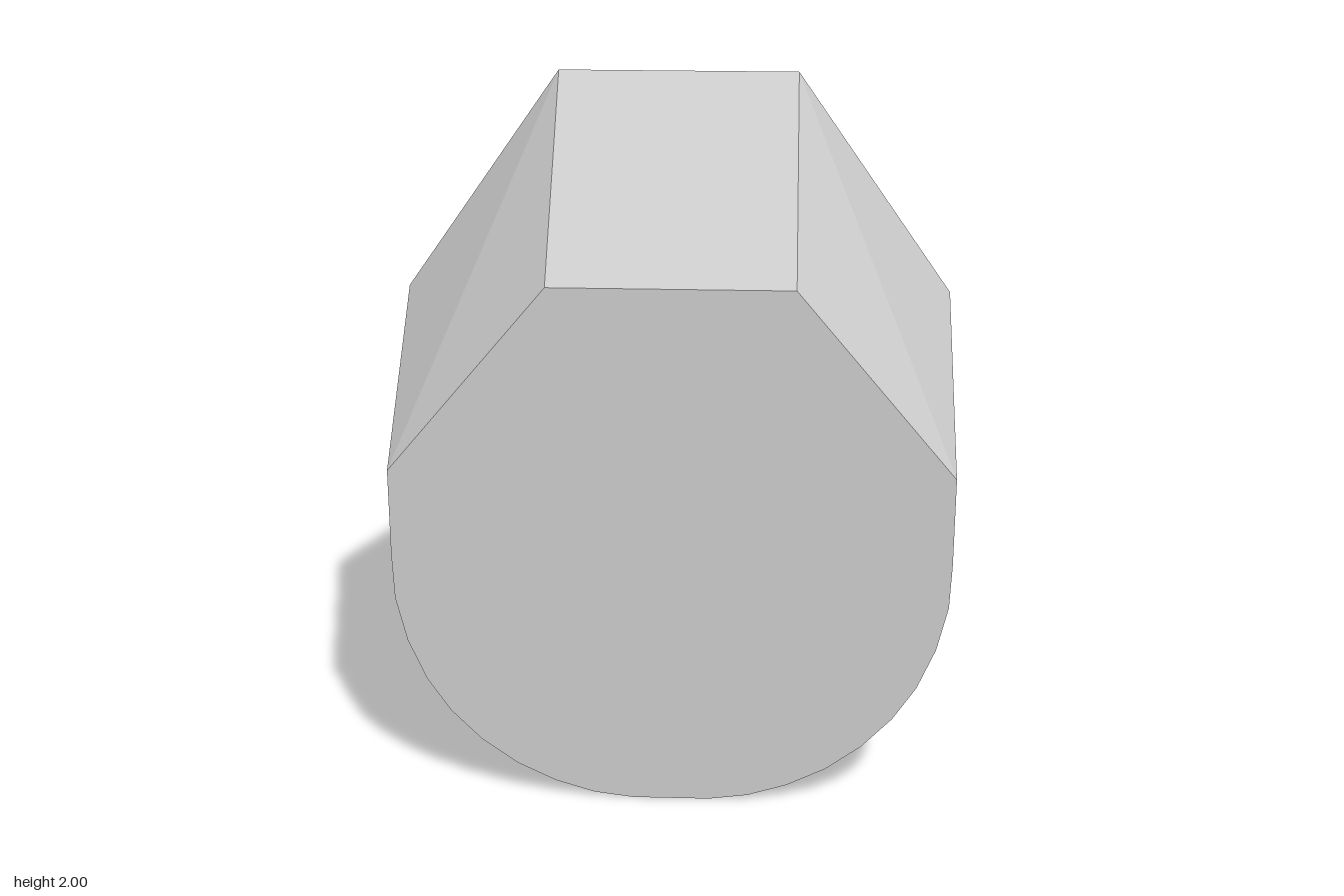
import * as THREE from 'three';

const DEPTH = 0.26; // half thickness

// Right half of the front outline, bottom to top
const half = [
  [0.11, 0], [0.22, 0.015], [0.33, 0.05], [0.44, 0.105], [0.54, 0.18], [0.625, 0.27],
  [0.69, 0.37], [0.74, 0.49], [0.77, 0.62], [0.775, 0.75], [0.775, 1.005], [0.333, 1.535],
];
const outline = [...half, ...half.slice().reverse().map(([x, y]) => [-x, y])];

// The outline rises towards the back, more so near the top; t = 0 front, 1 back
function place([x, y], t) {
  const rise = 0.275 + 0.02 * y + 0.068 * y * y;
  const sag = y < 0.7 ? 0.04 * t * (1 - t) : 0;
  return [x, y + rise * t - sag, DEPTH * (1 - 2 * t)];
}

function meshFrom(name, triangles) {
  const geometry = new THREE.BufferGeometry();
  geometry.setAttribute('position', new THREE.Float32BufferAttribute(triangles.flat(2), 3));
  geometry.computeVertexNormals();
  const material = new THREE.MeshStandardMaterial({ color: 0xcccccc, flatShading: true });
  const mesh = new THREE.Mesh(geometry, material);
  mesh.name = name;
  return mesh;
}

// Flat end face as a fan
function cap(name, t) {
  const p = outline.map((q) => place(q, t));
  const triangles = [];
  for (let i = 1; i < p.length - 1; i++) {
    triangles.push(t === 0 ? [p[0], p[i], p[i + 1]] : [p[0], p[i + 1], p[i]]);
  }
  return meshFrom(name, triangles);
}

// Wall between the two end faces, with mirrored diagonals on the two sides
function wall() {
  const triangles = [];
  outline.forEach((a, i) => {
    const b = outline[(i + 1) % outline.length];
    const steps = Math.min(a[1], b[1]) < 0.7 ? 2 : 1;
    for (let s = 0; s < steps; s++) {
      const [t0, t1] = [s / steps, (s + 1) / steps];
      const [fa, ba, fb, bb] = [place(a, t0), place(a, t1), place(b, t0), place(b, t1)];
      if (a[0] + b[0] < 0) triangles.push([fa, ba, fb], [ba, bb, fb]);
      else triangles.push([fa, ba, bb], [fa, bb, fb]);
    }
  });
  return meshFrom('rim', triangles);
}

export function createModel() {
  const model = new THREE.Group();
  model.name = 'slantedBlock';
  model.add(cap('frontFace', 0), cap('backFace', 1), wall());
  return model;
}
